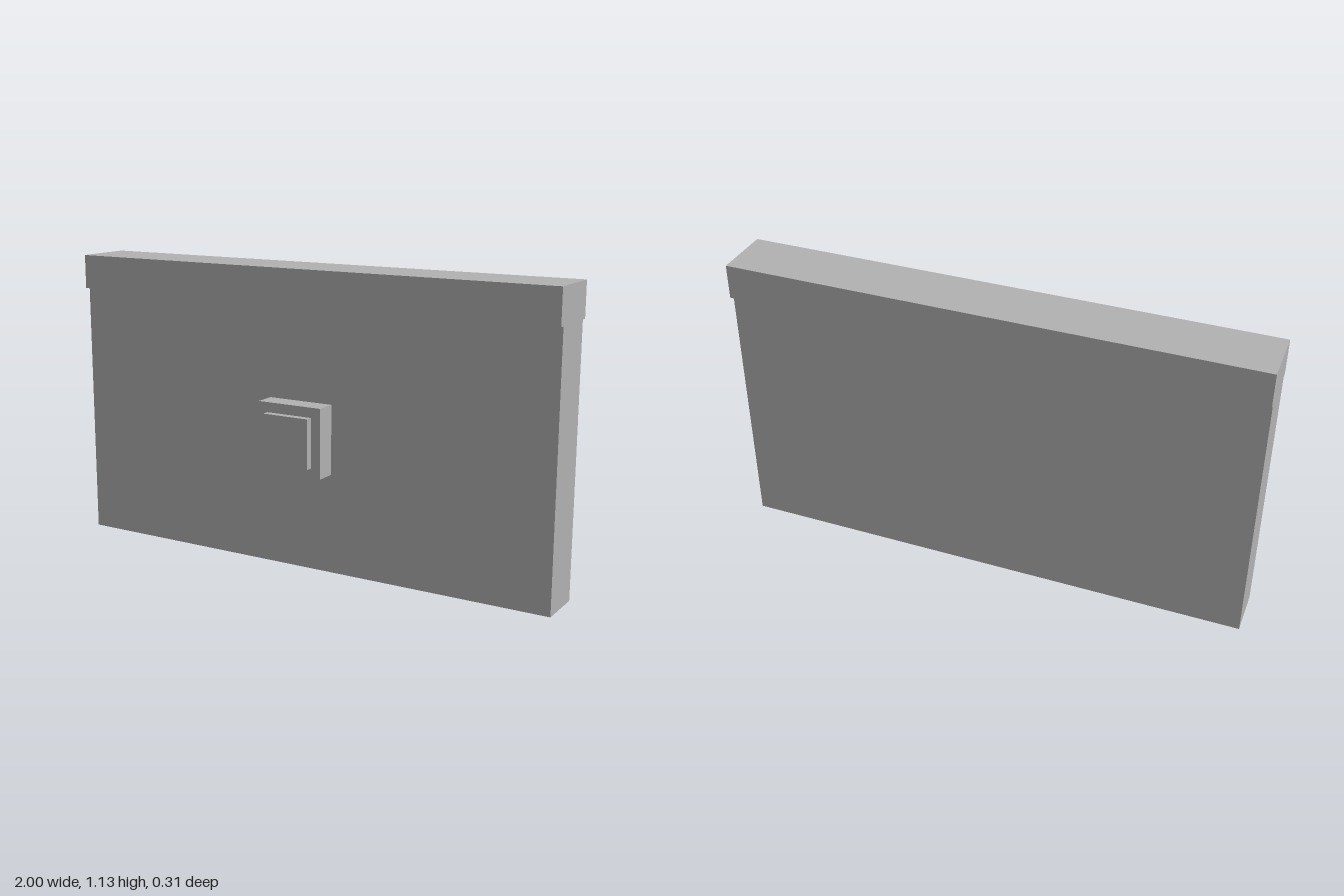
import * as THREE from 'three';

export function createModel() {
  const model = new THREE.Group();
  model.name = 'wallWithButton';

  const stone = new THREE.MeshStandardMaterial({ color: 0xb2b2b2 });
  stone.name = 'stone grey';

  // Box given by its extents along x, y and z
  const addBox = (name, [x0, x1], [y0, y1], [z0, z1]) => {
    const mesh = new THREE.Mesh(new THREE.BoxGeometry(x1 - x0, y1 - y0, z1 - z0), stone);
    mesh.position.set((x0 + x1) / 2, (y0 + y1) / 2, (z0 + z1) / 2);
    mesh.name = name;
    model.add(mesh);
  };

  // Wall slab and the overhanging coping along its top
  addBox('wall', [-1, 1], [0, 1], [-0.135, 0.048]);
  addBox('coping', [-1, 1], [1, 1.132], [-0.157, 0.069]);

  // Raised switch housing with its push button
  addBox('buttonHousing', [-0.132, 0.132], [0.379, 0.643], [0.048, 0.129]);
  addBox('button', [-0.094, 0.094], [0.416, 0.605], [0.129, 0.157]);

  return model;
}
